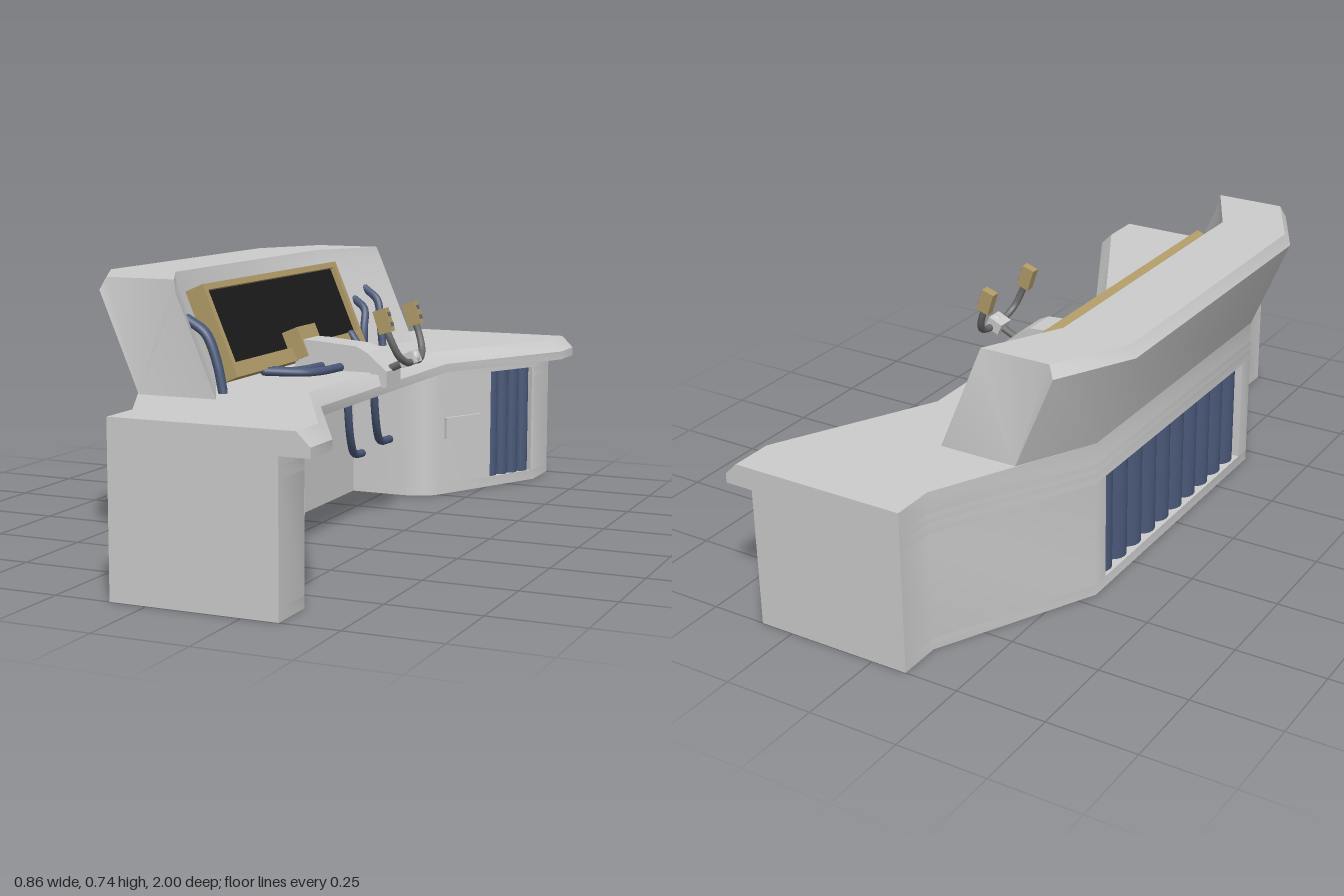
import * as THREE from 'three';
import { toCreasedNormals } from 'three/addons/utils/BufferGeometryUtils.js';

const mat = (color) => new THREE.MeshStandardMaterial({ color });
const V = (x, y, z) => new THREE.Vector3(x, y, z);

export function createModel() {
  const root = new THREE.Group();
  const grey = mat(0xcccccc), navy = mat(0x4a5878), tan = mat(0xb09a68);
  const black = mat(0x1a1a1a), dark = mat(0x6a6a6a);

  const add = (name, geo, material, parent = root) => {
    const mesh = new THREE.Mesh(geo, material);
    mesh.name = name;
    parent.add(mesh);
    return mesh;
  };
  const box = (name, w, h, d, material, x, y, z, parent) => {
    const mesh = add(name, new THREE.BoxGeometry(w, h, d), material, parent);
    mesh.position.set(x, y, z);
    return mesh;
  };
  const tube = (name, points, r, material) => {
    const path = new THREE.CatmullRomCurve3(points);
    const mesh = add(name, new THREE.TubeGeometry(path, 24, r, 10), material);
    // round ends
    for (const p of [points[0], points[points.length - 1]])
      add(name + 'End', new THREE.SphereGeometry(r, 10, 8), material).position.copy(p);
    return mesh;
  };
  // Skin over counter-clockwise x/y rings placed along +z, with end caps
  const loft = (rings) => {
    const pos = [], n = rings[0].length;
    const tri = (...v) => v.forEach((p) => pos.push(...p));
    for (let i = 0; i < rings.length - 1; i++) {
      for (let j = 0; j < n; j++) {
        const k = (j + 1) % n, a = rings[i], b = rings[i + 1];
        tri(a[j], a[k], b[k]);
        tri(a[j], b[k], b[j]);
      }
    }
    const first = rings[0], last = rings[rings.length - 1];
    for (let j = 1; j < n - 1; j++) {
      tri(first[0], first[j + 1], first[j]);
      tri(last[0], last[j], last[j + 1]);
    }
    const geo = new THREE.BufferGeometry();
    geo.setAttribute('position', new THREE.Float32BufferAttribute(pos, 3));
    return toCreasedNormals(geo, 0.6);
  };

  // Slanted pedestal face: a point t along it, set d into the body
  const along = [-0.457, -0.889], inward = [-0.889, 0.457];
  const facePoint = (t, d) => [0.345 + along[0] * t + inward[0] * d, 0.86 + along[1] * t + inward[1] * d];
  const VENT0 = 0.012, VENT1 = 0.19, DEPTH = 0.04;

  // Base: stacked floor plans, notched where the vents are
  const baseLayer = (y0, y1, sideVents, backVent) => {
    const half = backVent ? [[-0.28, 0.4], [-0.32, 0.4]] : [];
    half.push([-0.32, 0.45], [-0.1, 0.88], [-0.1, 1], [0.345, 1], [0.345, 0.86]);
    if (sideVents)
      half.push(facePoint(VENT0, 0), facePoint(VENT0, DEPTH), facePoint(VENT1, DEPTH), facePoint(VENT1, 0));
    const corner = new THREE.QuadraticBezierCurve(
      new THREE.Vector2(0.165, 0.51), new THREE.Vector2(0.134, 0.45), new THREE.Vector2(0.05, 0.45));
    corner.getPoints(8).forEach((p) => half.push([p.x, p.y]));
    half.push([-0.1, 0.45]);
    const loop = [...half, ...half.map(([x, z]) => [x, -z]).reverse()];
    const shape = new THREE.Shape(loop.map(([x, z]) => new THREE.Vector2(x, -z)));
    const geo = new THREE.ExtrudeGeometry(shape, { depth: y1 - y0, bevelEnabled: false });
    geo.rotateX(-Math.PI / 2).translate(0, y0, 0);
    add('base', toCreasedNormals(geo, 0.6), grey);
  };
  baseLayer(0, 0.03, false, false);
  baseLayer(0.03, 0.33, true, true);
  baseLayer(0.33, 0.36, true, false);
  baseLayer(0.36, 0.385, false, false);

  // Vent columns and cover plates
  const column = (r, h, x, z) =>
    add('ventColumn', new THREE.CylinderGeometry(r, r, h, 16), navy).position.set(x, 0.03 + h / 2, z);
  for (const s of [1, -1]) {
    const r = (VENT1 - VENT0) / 8;
    for (let i = 0; i < 4; i++) {
      const [x, z] = facePoint(VENT0 + r * (2 * i + 1), 0.026);
      column(r, 0.33, x, z * s);
    }
    const [px, pz] = facePoint(0.309, 0);
    box('coverPlate', 0.02, 0.065, 0.145, grey, px, 0.203, pz * s).rotation.y = s * Math.atan2(0.457, 0.889);
  }
  for (let i = 0; i < 10; i++) column(0.04, 0.3, -0.272, -0.36 + 0.08 * i);

  // Desk top with chamfered front edge
  const deskStations = [[-1, -0.1, 0.425], [-0.88, -0.1, 0.425], [-0.45, -0.32, 0.2],
    [0.45, -0.32, 0.2], [0.88, -0.1, 0.425], [1, -0.1, 0.425]];
  add('deskTop', loft(deskStations.map(([z, b, f]) => [[b, 0.385, z], [f, 0.385, z], [f, 0.41, z],
    [f - 0.035, 0.445, z], [b, 0.445, z]])), grey);

  // Leaning hood with swept ends
  const hoodProfile = [[-0.32, 0.445], [-0.1, 0.445], [-0.21, 0.705], [-0.22, 0.738], [-0.415, 0.738], [-0.43, 0.705]];
  add('hood', loft([[-0.66, 0.11], [-0.45, 0], [0.45, 0], [0.66, 0.11]].map(([z, dx]) =>
    hoodProfile.map(([x, y]) => [x + dx, y, y > 0.73 ? z * 0.985 : z]))), grey);

  // Tilted screen in its frame
  const screen = new THREE.Group();
  screen.name = 'screenUnit';
  screen.position.set(-0.1, 0.587, 0);
  screen.rotation.z = 0.4;
  root.add(screen);
  const rect = (T, w, y0, y1) => new T([[-w, y0], [w, y0], [w, y1], [-w, y1]].map((p) => new THREE.Vector2(...p)));
  const frame = rect(THREE.Shape, 0.425, -0.13, 0.13);
  frame.holes.push(rect(THREE.Path, 0.405, -0.09, 0.113));
  const frameGeo = new THREE.ExtrudeGeometry(frame, { depth: 0.06, bevelEnabled: false });
  add('screenFrame', frameGeo.rotateY(Math.PI / 2).translate(-0.06, 0, 0), tan, screen);
  box('screenPanel', 0.04, 0.21, 0.82, black, -0.035, 0.01, 0, screen);
  box('frameBlock', 0.05, 0.085, 0.12, tan, 0.01, -0.085, 0, screen);

  // Control housing running from the screen over the desk edge
  const housing = new THREE.Shape([[-0.06, 0.44], [0.19, 0.44], [0.2, 0.405], [0.215, 0.405], [0.215, 0.45],
    [0.155, 0.5], [0.125, 0.515], [0, 0.525], [-0.06, 0.527]].map((p) => new THREE.Vector2(...p)));
  add('controlHousing', new THREE.ExtrudeGeometry(housing, { depth: 0.1, bevelEnabled: false }).translate(0, 0, -0.05), grey);

  // Steering column, hub and yoke with grips
  tube('column', [V(-0.02, 0.345, 0), V(0.125, 0.415, 0), V(0.27, 0.483, 0)], 0.011, dark);
  box('hub', 0.045, 0.034, 0.05, grey, 0.263, 0.483, 0).rotation.z = 0.42;
  add('hubCap', new THREE.SphereGeometry(0.02, 16, 12), grey).position.set(0.272, 0.487, 0);
  for (const s of [1, -1]) {
    tube('yokeArm', [V(0.272, 0.478, 0), V(0.274, 0.478, 0.045 * s), V(0.265, 0.5, 0.085 * s),
      V(0.25, 0.54, 0.102 * s), V(0.233, 0.58, 0.105 * s)], 0.01, dark);
    const grip = new THREE.Group();
    grip.name = 'grip';
    grip.position.set(0.229, 0.595, 0.105 * s);
    grip.rotation.z = 0.32;
    root.add(grip);
    box('gripBody', 0.038, 0.065, 0.026, tan, 0, 0, 0, grip);
    for (const y of [-0.014, 0.014]) box('gripButton', 0.006, 0.012, 0.012, dark, 0.02, y, 0, grip);
  }

  // Cables lying on the desk, looping under the control housing
  const R = 0.012;
  tube('deskCable', [V(-0.06, 0.5, -0.34), V(-0.03, 0.46, -0.34), V(0.035, 0.455, -0.29), V(0.075, 0.455, -0.18),
    V(0.075, 0.455, 0.06), V(0.045, 0.455, 0.18), V(-0.06, 0.46, 0.245)], R, navy);
  tube('deskCable', [V(-0.06, 0.46, -0.28), V(-0.01, 0.455, -0.24), V(0.015, 0.455, -0.14),
    V(0.015, 0.455, 0.1), V(-0.01, 0.455, 0.18), V(-0.06, 0.46, 0.22)], R, navy);

  // Cables on the swept hood ends: [z at desk, z at top, top height]
  for (const [z0, z1, top] of [[0.56, 0.56, 0.63], [0.51, 0.505, 0.625], [-0.53, -0.57, 0.615], [-0.465, -0.52, 0.585]]) {
    const face = (z, y) => -0.1 - 0.423 * (y - 0.445) + 0.524 * (Math.abs(z) - 0.45);
    const at = (t, out) => {
      const y = 0.445 + (top - 0.445) * t, z = z0 + (z1 - z0) * t * t;
      return V(face(z, y) + out, y, z);
    };
    tube('hoodCable', [at(0, 0.02), at(0.4, 0.035), at(0.8, 0.035), at(1, -0.005)], R, navy);
  }

  // Cables in the knee space: [x, z, side, end height]
  for (const [x, z, s, end] of [[0.04, 0.3, 1, 0.12], [-0.05, 0.3, 1, 0.12], [0.04, 0.275, -1, 0.17], [-0.05, 0.29, -1, 0.12]])
    tube('kneeCable', [V(x, 0.39, z * s), V(x, end + 0.15, (z + 0.005) * s), V(x - 0.01, end + 0.05, (z + 0.05) * s),
      V(x - 0.02, end + 0.008, (z + 0.1) * s), V(x - 0.02, end, 0.455 * s)], R, navy);

  return root;
}
